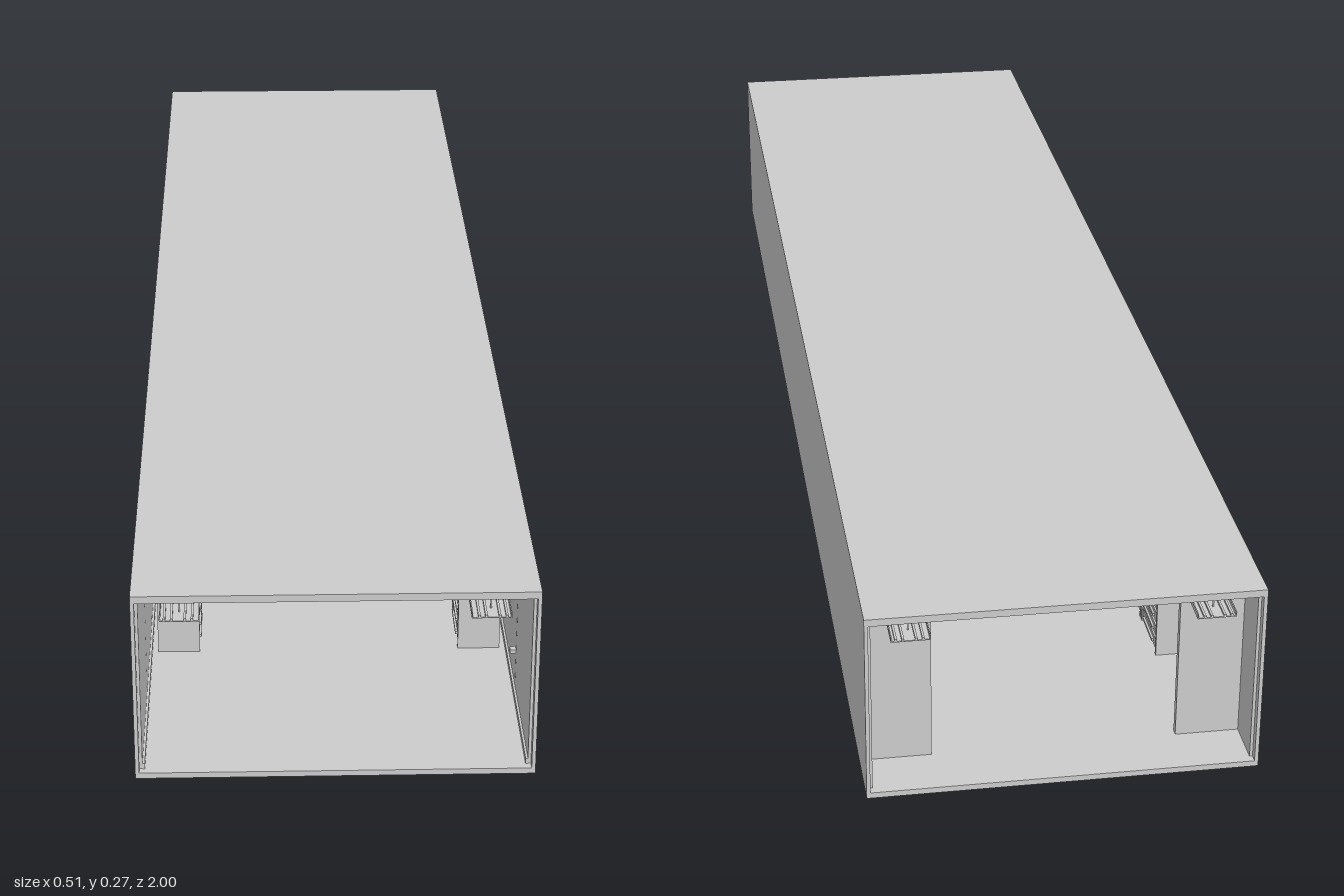
import * as THREE from 'three';

export function createModel() {
  const model = new THREE.Group();
  const grey = new THREE.MeshStandardMaterial({ color: 0xcccccc });
  grey.name = 'light grey';

  // Box given by its lower and upper limits on each axis
  function box(name, x0, x1, y0, y1, z0, z1, parent = model) {
    const mesh = new THREE.Mesh(new THREE.BoxGeometry(x1 - x0, y1 - y0, z1 - z0), grey);
    mesh.position.set((x0 + x1) / 2, (y0 + y1) / 2, (z0 + z1) / 2);
    mesh.name = name;
    parent.add(mesh);
    return mesh;
  }
  // Same, with x limits measured outwards from the middle, on side s
  function sideBox(name, s, a, b, y0, y1, z0, z1, parent = model) {
    return box(name, Math.min(s * a, s * b), Math.max(s * a, s * b), y0, y1, z0, z1, parent);
  }

  // Outer shell: a rectangular tube open at both ends
  const outline = new THREE.Shape();
  outline.moveTo(-0.257, 0).lineTo(0.257, 0).lineTo(0.257, 0.266).lineTo(-0.257, 0.266).closePath();
  const opening = new THREE.Path();
  opening.moveTo(-0.252, 0.008).lineTo(-0.252, 0.256).lineTo(0.252, 0.256).lineTo(0.252, 0.008).closePath();
  outline.holes.push(opening);
  const shellGeometry = new THREE.ExtrudeGeometry(outline, { depth: 2, bevelEnabled: false });
  shellGeometry.translate(0, 0, -1);
  const shell = new THREE.Mesh(shellGeometry, grey);
  shell.name = 'shell';
  model.add(shell);

  // Server cabinet with drawers and handles on its aisle face
  function rack(s, z0, z1) {
    const g = new THREE.Group();
    g.name = 'serverRack';
    model.add(g);
    sideBox('rackBody', s, 0.184, 0.237, 0.008, 0.184, z0, z1, g);
    for (const z of [z0, z1 - 0.006]) sideBox('rackPost', s, 0.179, 0.184, 0.008, 0.184, z, z + 0.006, g);
    sideBox('rackTopRail', s, 0.179, 0.184, 0.178, 0.184, z0 + 0.006, z1 - 0.006, g);
    for (let i = 0; i < 8; i++) {
      const y = 0.014 + i * 0.0205;
      sideBox('serverUnit', s, 0.180, 0.184, y, y + 0.015, z0 + 0.008, z1 - 0.008, g);
      sideBox('unitHandle', s, 0.177, 0.180, y + 0.005, y + 0.009, z0 + 0.02, z1 - 0.02, g);
    }
  }

  for (const s of [-1, 1]) {
    // Wall lining panels with narrow seams, and skirting
    for (let i = 0; i < 11; i++) {
      const z = -0.99 + i * 0.18;
      sideBox('wallPanel', s, 0.248, 0.252, 0.008, 0.256, z + 0.001, z + 0.179);
    }
    sideBox('skirting', s, 0.245, 0.248, 0.008, 0.016, -0.9, 0.99);

    // Partition beside the back doorway
    sideBox('partition', s, 0.163, 0.248, 0.008, 0.256, -0.925, -0.915);

    // Row of racks
    for (let i = 0; i < 14; i++) rack(s, -0.73 + i * 0.102, -0.73 + i * 0.102 + 0.1);

    // Hanging cable tray: two rails, rungs, cables and rods
    const tray = new THREE.Group();
    tray.name = 'cableTray';
    model.add(tray);
    sideBox('trayFloor', s, 0.171, 0.222, 0.221, 0.2225, -0.985, 0.985, tray);
    for (const x of [0.171, 0.2205]) sideBox('trayRail', s, x, x + 0.0015, 0.2225, 0.228, -0.985, 0.985, tray);
    for (const x of [0.179, 0.188, 0.205, 0.214]) sideBox('cable', s, x, x + 0.003, 0.2225, 0.2255, -0.985, 0.985, tray);
    for (let i = 0; i < 9; i++) {
      const z = -0.96 + i * 0.24;
      sideBox('trayRod', s, 0.196, 0.198, 0.2225, 0.256, z, z + 0.002, tray);
    }
    // Cable drops into the racks
    for (const z of [-0.55, -0.05, 0.45]) sideBox('cableDrop', s, 0.198, 0.201, 0.184, 0.221, z, z + 0.003);

    // Ceiling conduit
    sideBox('ceilingConduit', s, 0.155, 0.163, 0.2535, 0.256, -0.9, 0.9);
  }

  // Ceiling air unit and central light strip
  box('airUnit', -0.087, 0.087, 0.217, 0.256, -0.925, -0.885);
  for (let i = 0; i < 6; i++) box('ceilingLight', -0.008, 0.008, 0.252, 0.256, -0.78 + i * 0.29, -0.66 + i * 0.29);

  // Electrical cabinet, small work shelf and wall socket on the left side
  box('electricalCabinet', 0.198, 0.238, 0.008, 0.2, -0.83, -0.75);
  box('workShelf', 0.157, 0.177, 0.045, 0.049, 0.1, 0.16);
  box('shelfLeg', 0.174, 0.177, 0.008, 0.045, 0.12, 0.14);
  box('wallSocket', 0.24, 0.248, 0.066, 0.071, 0.8, 0.81);

  return model;
}
